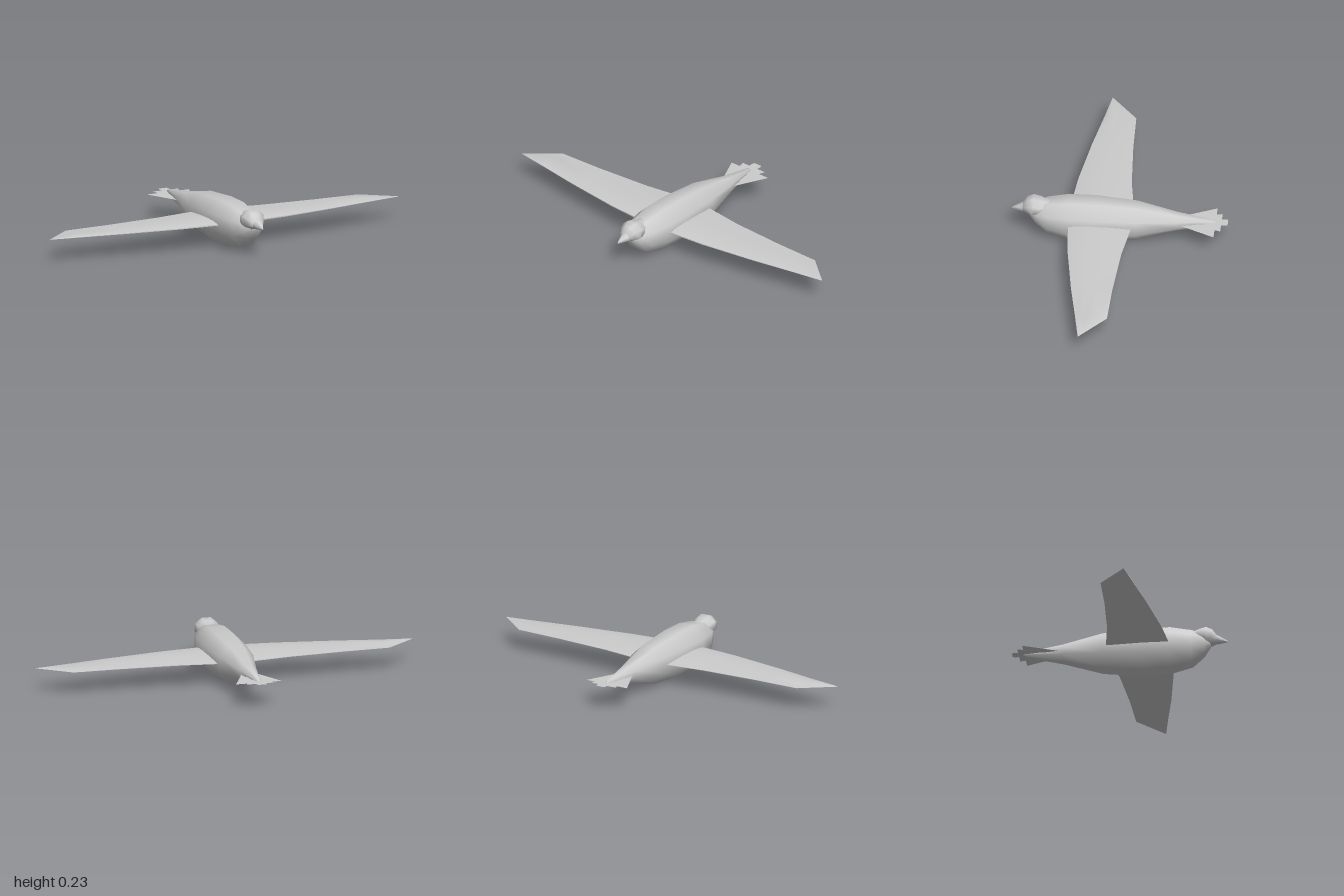
import * as THREE from 'three';
import { toCreasedNormals } from 'three/addons/utils/BufferGeometryUtils.js';

const grey = new THREE.MeshStandardMaterial({ color: 0xcccccc });
const greyThin = new THREE.MeshStandardMaterial({ color: 0xcccccc, side: THREE.DoubleSide });

// Skin a list of equal-length point rings
function loft(name, rings, material = grey) {
  const n = rings[0].length;
  const index = [];
  for (let i = 0; i < rings.length - 1; i++) {
    for (let k = 0; k < n; k++) {
      const a = i * n + k, b = i * n + (k + 1) % n;
      index.push(a, a + n, b, b, a + n, b + n);
    }
  }
  const geometry = new THREE.BufferGeometry();
  geometry.setAttribute('position', new THREE.Float32BufferAttribute(rings.flat(2), 3));
  geometry.setIndex(index);
  const mesh = new THREE.Mesh(toCreasedNormals(geometry, 1.0), material);
  mesh.name = name;
  return mesh;
}

// Octagonal ring with flat top, sides and belly: [z, half width, middle, top, bottom]
function octagon([z, w, mid, top, bottom]) {
  const ring = [];
  for (let k = 0; k < 8; k++) {
    const a = (k + 0.5) * Math.PI / 4, f = 1 / Math.cos(Math.PI / 8);
    const s = Math.sin(a) * f;
    ring.push([w * Math.cos(a) * f, mid + s * (s > 0 ? top - mid : mid - bottom), z]);
  }
  return ring;
}

// Wing sections: [x, leading z, trailing z, thickness]
const wingSections = [
  [0, 0.26, -0.07, 0.019],
  [0.1, 0.256, -0.063, 0.018],
  [0.3, 0.24, -0.035, 0.014],
  [0.6, 0.196, -0.016, 0.008],
  [0.84, 0.153, -0.01, 0.004],
  [1, 0.126, 0.122, 0.002],
];

function wing(name, side) {
  const profile = [[0, 0.35], [0.12, 0.75], [0.35, 1], [0.65, 0.75], [1, 0.15], [1, 0], [0.5, 0], [0, 0]];
  const rings = wingSections.map(([x, lead, trail, t]) => {
    const ring = profile.map(([u, v]) => [side * x, 0.122 + v * t, lead + (trail - lead) * u]);
    return side > 0 ? ring : ring.reverse();
  });
  // close the tip
  const last = rings[rings.length - 1];
  rings.push(last.map(() => [side, 0.123, 0.124]));
  return loft(name, rings);
}

// Flat tail feather from corner points [x, z]
function feather(name, corners, y) {
  const shape = new THREE.Shape(corners.map(([x, z]) => new THREE.Vector2(x, -z)));
  const mesh = new THREE.Mesh(new THREE.ShapeGeometry(shape).rotateX(-Math.PI / 2), greyThin);
  mesh.position.y = y;
  mesh.name = name;
  return mesh;
}

export function createModel() {
  const bird = new THREE.Group();
  bird.name = 'bird';

  bird.add(loft('body', [
    [0.465, 0, 0.145, 0.145, 0.145],
    [0.462, 0.025, 0.145, 0.165, 0.128],
    [0.43, 0.055, 0.14, 0.19, 0.083],
    [0.37, 0.083, 0.135, 0.212, 0.034],
    [0.26, 0.104, 0.13, 0.23, 0.008],
    [0.12, 0.105, 0.13, 0.231, 0.001],
    [-0.09, 0.09, 0.13, 0.215, 0.022],
    [-0.29, 0.046, 0.13, 0.172, 0.077],
    [-0.48, 0.012, 0.13, 0.144, 0.117],
    [-0.497, 0, 0.13, 0.13, 0.13],
  ].map(octagon)));

  bird.add(loft('head', [
    [0.5, 0, 0.168, 0.168, 0.168],
    [0.495, 0.028, 0.168, 0.188, 0.148],
    [0.472, 0.046, 0.175, 0.219, 0.141],
    [0.44, 0.06, 0.18, 0.231, 0.133],
    [0.405, 0.056, 0.18, 0.222, 0.137],
    [0.385, 0.045, 0.18, 0.215, 0.145],
    [0.355, 0.04, 0.18, 0.214, 0.15],
    [0.34, 0, 0.18, 0.18, 0.18],
  ].map(octagon)));

  bird.add(loft('beak', [
    [0.552, 0, 0.154, 0.154, 0.154],
    [0.545, 0.005, 0.156, 0.162, 0.15],
    [0.49, 0.03, 0.168, 0.192, 0.145],
    [0.47, 0, 0.168, 0.168, 0.168],
  ].map(octagon)));

  bird.add(wing('leftWing', 1), wing('rightWing', -1));

  // Fan of overlapping tail feathers, stepped in length
  const tail = new THREE.Group();
  tail.name = 'tail';
  tail.add(feather('middleFeather',
    [[-0.008, -0.3], [0.008, -0.3], [0.027, -0.54], [0.022, -0.553], [-0.022, -0.553], [-0.027, -0.54]], 0.133));
  for (const s of [1, -1]) {
    const side = s > 0 ? 'left' : 'right';
    const mirror = (pts) => pts.map(([x, z]) => [x * s, z]);
    tail.add(feather(side + 'InnerFeather', mirror([[0, -0.3], [0.015, -0.3], [0.073, -0.52], [0.012, -0.52]]), 0.13));
    tail.add(feather(side + 'OuterFeather', mirror([[0.01, -0.29], [0.03, -0.29], [0.122, -0.49], [0.05, -0.49]]), 0.127));
  }
  bird.add(tail);
  return bird;
}
